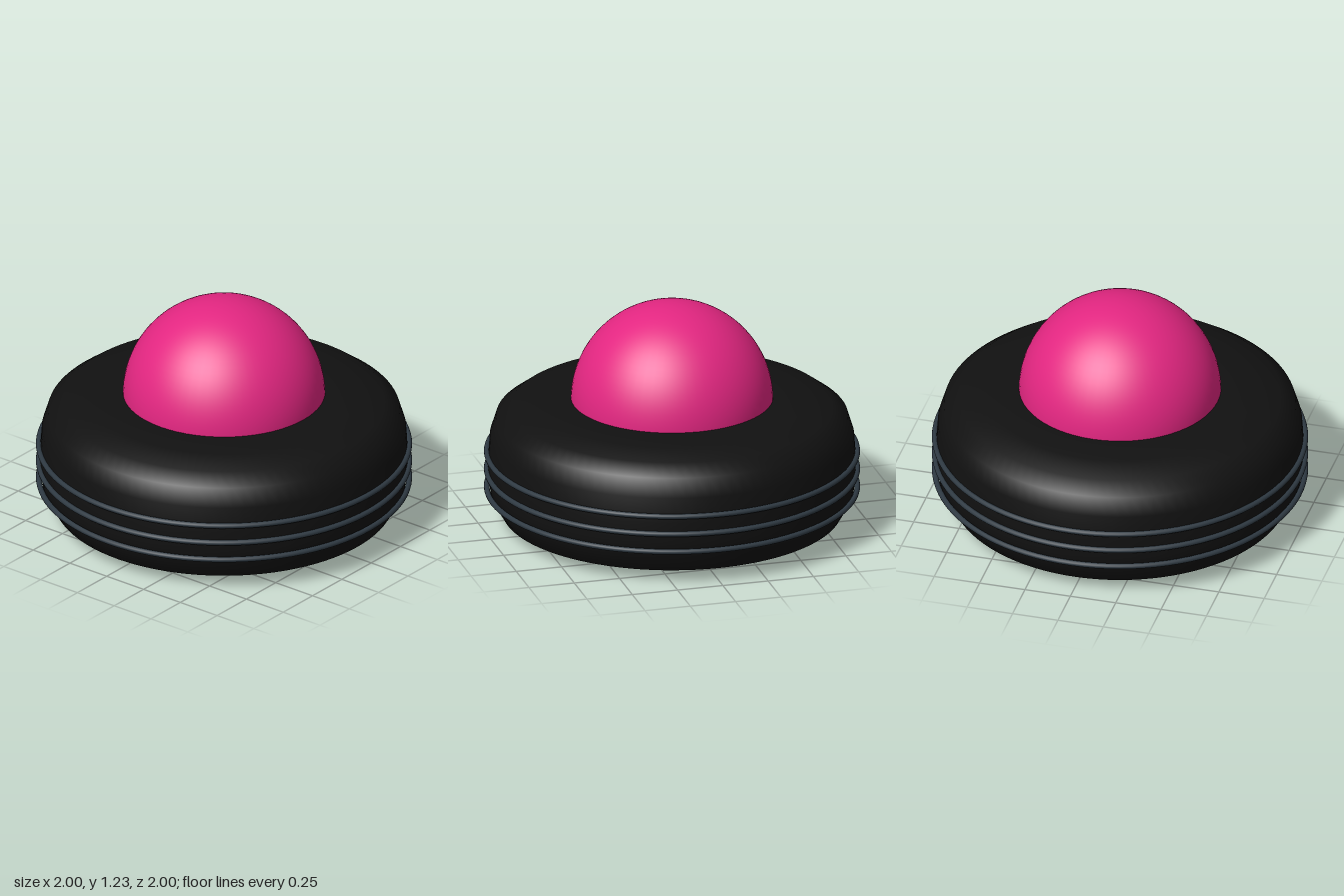
import * as THREE from 'three';

const material = (name, color) => {
  const m = new THREE.MeshStandardMaterial({ color });
  m.name = name;
  return m;
};

export function createModel() {
  const group = new THREE.Group();
  group.name = 'domeButton';

  const black = material('black', 0x111111);
  const slate = material('slate', 0x2e3942);
  const pink = material('pink', 0xe32681);

  const add = (name, geometry, mat, y = 0) => {
    const mesh = new THREE.Mesh(geometry, mat);
    mesh.name = name;
    mesh.position.y = y;
    group.add(mesh);
    return mesh;
  };

  // Round base with softened rims, turned from bottom centre to top centre
  const profile = [
    [0, 0], [0.2, 0.001], [0.444, 0.005], [0.738, 0.021], [0.904, 0.064],
    [0.963, 0.166], [0.975, 0.25], [0.978, 0.36], [0.968, 0.497],
    [0.936, 0.599], [0.856, 0.658], [0.711, 0.69], [0.54, 0.705], [0, 0.71],
  ].map(([r, y]) => new THREE.Vector2(r, y));
  add('base', new THREE.LatheGeometry(profile, 96), black);

  // Three thin bands around the side
  [0.2, 0.3, 0.4].forEach((y, i) => {
    const ring = new THREE.TorusGeometry(0.985, 0.015, 12, 96).rotateX(Math.PI / 2);
    add(`sideBand${i + 1}`, ring, slate, y);
  });

  // Domed button on top
  const dome = new THREE.SphereGeometry(0.538, 64, 24, 0, Math.PI * 2, 0, Math.PI / 2);
  add('dome', dome, pink, 0.695);

  return group;
}
